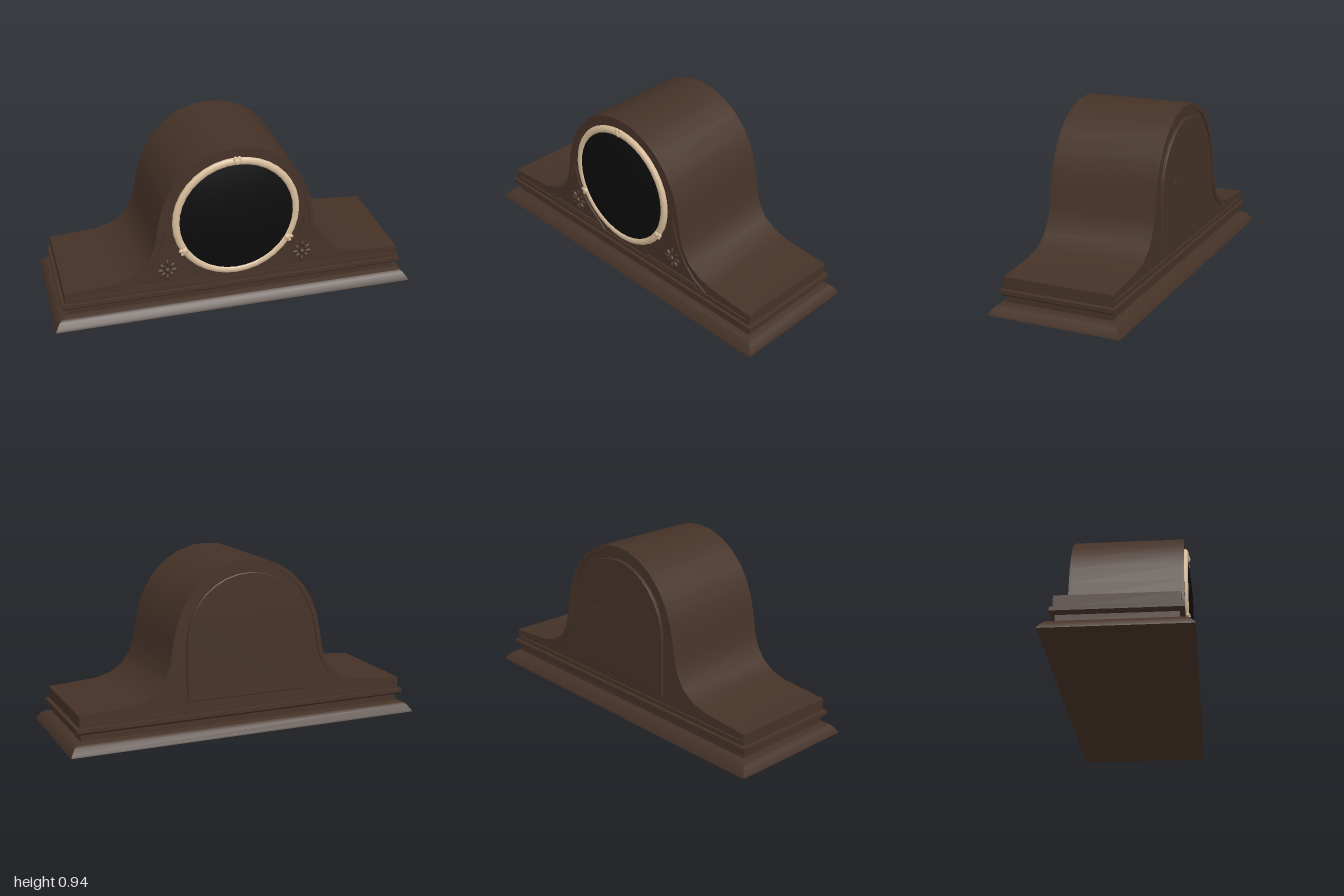
import * as THREE from 'three';
import { toCreasedNormals } from 'three/addons/utils/BufferGeometryUtils.js';

const wood = new THREE.MeshStandardMaterial({ color: 0x453227 });
wood.name = 'dark wood';
const brass = new THREE.MeshStandardMaterial({ color: 0xd8bd9b });
brass.name = 'pale brass';
const black = new THREE.MeshStandardMaterial({ color: 0x0c0c0c });
black.name = 'black dial';

const V = (x, y) => new THREE.Vector2(x, y);
const DIAL_Y = 0.535;

// Rectangular moulding with mitred corners, from [halfX, halfZ, y] sections going up
function moulding(sections) {
  const pos = [], idx = [];
  for (const [x, z, y] of sections) pos.push(x, y, z, x, y, -z, -x, y, -z, -x, y, z);
  const n = sections.length;
  for (let i = 0; i < n - 1; i++) {
    for (let k = 0; k < 4; k++) {
      const a = i * 4 + k, b = i * 4 + (k + 1) % 4;
      idx.push(a, b, b + 4, a, b + 4, a + 4);
    }
  }
  const t = (n - 1) * 4;
  idx.push(0, 2, 1, 0, 3, 2, t, t + 1, t + 2, t, t + 2, t + 3);
  const g = new THREE.BufferGeometry();
  g.setAttribute('position', new THREE.Float32BufferAttribute(pos, 3));
  g.setIndex(idx);
  return toCreasedNormals(g, 0.45);
}

// Extrude a closed outline (with optional hole) from z0 to z1
function slab(outline, hole, z0, z1, bevel = 0) {
  const shape = new THREE.Shape(outline);
  if (hole) shape.holes.push(new THREE.Path(hole));
  const g = new THREE.ExtrudeGeometry(shape, {
    depth: z1 - z0 - 2 * bevel, bevelEnabled: bevel > 0,
    bevelThickness: bevel, bevelSize: bevel, bevelOffset: -bevel, bevelSegments: 1,
  });
  g.translate(0, 0, z0 + bevel);
  return toCreasedNormals(g, 0.5);
}

// Move a counter-clockwise outline inward by d
function inset(pts, d) {
  return pts.map((p, i) => {
    const a = pts[(i + pts.length - 1) % pts.length], b = pts[(i + 1) % pts.length];
    const u = p.clone().sub(a).normalize(), v = b.clone().sub(p).normalize();
    const n1 = V(-u.y, u.x), n2 = V(-v.y, v.x);
    return n1.clone().add(n2).multiplyScalar(d / (1 + n1.dot(n2))).add(p);
  });
}

export function createModel() {
  const root = new THREE.Group();
  const add = (name, geo, mat, parent = root) => {
    const m = new THREE.Mesh(geo, mat);
    m.name = name;
    parent.add(m);
    return m;
  };

  // Stepped plinth
  add('basePlinth', moulding([
    [1, 0.365, 0], [0.995, 0.36, 0.012], [0.975, 0.338, 0.04],
    [0.96, 0.325, 0.051], [0.925, 0.292, 0.06],
  ]), wood);
  add('plinthNeck', moulding([[0.928, 0.292, 0.058], [0.928, 0.292, 0.1]]), wood);
  add('plinthMoulding', moulding([
    [0.94, 0.303, 0.096], [0.955, 0.316, 0.108], [0.955, 0.316, 0.129], [0.94, 0.3, 0.131],
  ]), wood);

  // Hump-backed case
  const half = [
    [0.935, 0.13], [0.935, 0.195], [0.67, 0.214], [0.58, 0.238], [0.51, 0.285], [0.465, 0.35],
    [0.442, 0.42], [0.425, 0.52], [0.404, 0.615], [0.37, 0.7], [0.32, 0.78],
    [0.25, 0.85], [0.17, 0.9], [0.08, 0.93],
  ].map(([x, y]) => V(x, y));
  const profile = [...half, V(0, 0.937), ...half.slice().reverse().map(p => V(-p.x, p.y))];
  add('caseBody', slab(profile, null, -0.293, 0.293), wood);
  const inner = inset(profile, 0.024);
  add('frontRim', slab(profile, inner, 0.292, 0.302), wood);
  add('backRim', slab(profile, inner, -0.302, -0.292), wood);

  // Arched back door with its small knob
  const arch = [V(-0.35, 0.2), V(0.35, 0.2)];
  for (let i = 0; i <= 16; i++) {
    const a = Math.PI * i / 16;
    arch.push(V(0.35 * Math.cos(a), 0.52 + 0.348 * Math.sin(a)));
  }
  add('backDoor', slab(arch, null, -0.31, -0.29, 0.004), wood);
  const knob = add('doorKnob', new THREE.CylinderGeometry(0.016, 0.016, 0.008, 10), wood);
  knob.rotation.x = Math.PI / 2;
  knob.position.set(0.17, 0.545, -0.312);

  // Domed dial
  const dome = [];
  for (let i = 0; i <= 8; i++) {
    const t = i / 8;
    dome.push(V(0.322 * (1 - t), 0.312 + 0.028 * (1 - (1 - t) ** 2)));
  }
  const dial = add('dial', new THREE.LatheGeometry(dome, 40), black);
  dial.rotation.x = Math.PI / 2;
  dial.position.y = DIAL_Y;

  // Bezel with three clasps
  const bezel = add('bezel', new THREE.TorusGeometry(0.328, 0.021, 10, 36), brass);
  bezel.scale.z = 0.75;
  bezel.position.set(0, DIAL_Y, 0.306);
  for (const deg of [90, 210, 330]) {
    const clasp = new THREE.Group();
    clasp.name = 'bezelClasp';
    const a = deg * Math.PI / 180;
    clasp.position.set(0.329 * Math.cos(a), DIAL_Y + 0.329 * Math.sin(a), 0.318);
    clasp.rotation.z = a - Math.PI / 2;
    root.add(clasp);
    add('claspBead', new THREE.SphereGeometry(0.019, 12, 8), brass, clasp).scale.z = 0.6;
    for (const s of [-1, 1]) {
      const leaf = add('claspLeaf', new THREE.SphereGeometry(0.014, 10, 6), brass, clasp);
      leaf.scale.set(0.8, 1.2, 0.6);
      leaf.position.set(s * 0.011, 0.014, -0.002);
    }
  }

  // Carved corner triangles, each with a flower
  const tri = [V(0.155, 0.16), V(0.625, 0.16), V(0.54, 0.205), V(0.475, 0.27),
    V(0.43, 0.35), V(0.408, 0.42), V(0.385, 0.49)];
  for (let i = 1; i < 7; i++) {
    const a = -0.12 - (1.18 - 0.12) * i / 7;
    tri.push(V(0.392 * Math.cos(a), DIAL_Y + 0.392 * Math.sin(a)));
  }
  for (const s of [1, -1]) {
    const side = s > 0 ? 'left' : 'right';
    const mirror = pts => s > 0 ? pts : pts.map(p => V(-p.x, p.y)).reverse();
    const outer = mirror(tri);
    add(side + 'CarvedFrame', slab(outer, inset(outer, 0.012), 0.29, 0.303), wood);
    const flower = new THREE.Group();
    flower.name = side + 'Flower';
    flower.position.set(s * 0.378, 0.252, 0.296);
    root.add(flower);
    add('flowerCentre', new THREE.SphereGeometry(0.016, 10, 8), wood, flower);
    for (let i = 0; i < 8; i++) {
      const a = i * Math.PI / 4;
      const petal = add('petal', new THREE.SphereGeometry(0.021, 8, 6), wood, flower);
      petal.scale.set(1, 0.55, 0.5);
      petal.rotation.z = a;
      petal.position.set(0.037 * Math.cos(a), (i % 4 === 2 ? 0.046 : 0.037) * Math.sin(a), 0);
    }
  }
  return root;
}
